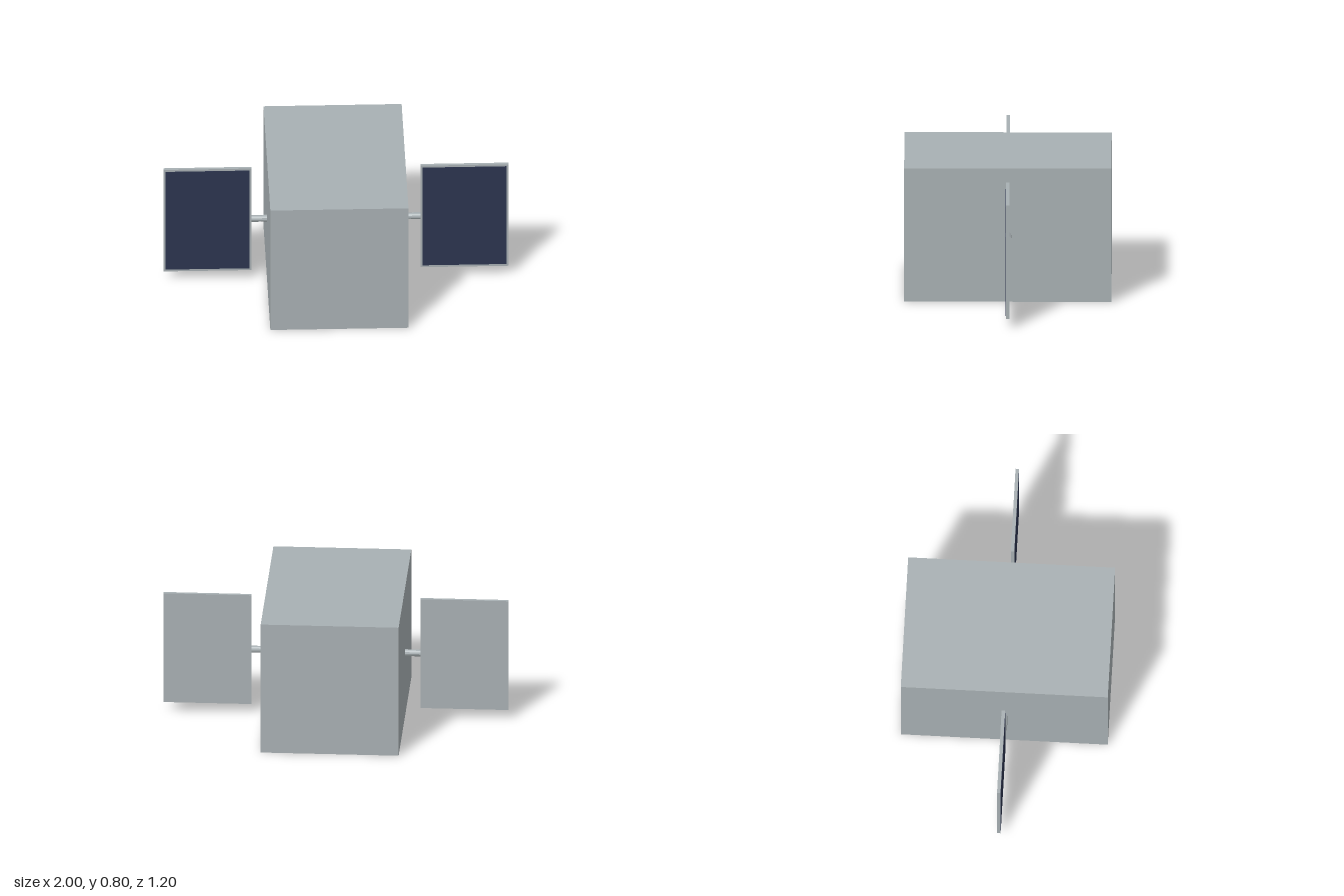
import * as THREE from 'three';

export function createModel() {
  const model = new THREE.Group();
  const hull = new THREE.MeshStandardMaterial({ color: 0xa8b0b3 });
  hull.name = 'hull grey';
  const navy = new THREE.MeshStandardMaterial({ color: 0x2c344f });
  navy.name = 'solar cell navy';

  const add = (parent, name, geometry, material, x, y, z) => {
    const mesh = new THREE.Mesh(geometry, material);
    mesh.name = name;
    mesh.position.set(x, y, z);
    parent.add(mesh);
    return mesh;
  };

  // Main box body
  add(model, 'body', new THREE.BoxGeometry(0.8, 0.8, 1.2), hull, 0, 0.4, 0);

  // Strut and solar panel on each side
  for (const [side, s] of [['left', 1], ['right', -1]]) {
    const wing = new THREE.Group();
    wing.name = side + 'Wing';

    const rod = new THREE.CylinderGeometry(0.02, 0.02, 0.09, 12).toNonIndexed();
    rod.computeVertexNormals();
    add(wing, 'strut', rod, hull, s * 0.445, 0.4, 0).rotation.z = Math.PI / 2;

    add(wing, 'panelFrame', new THREE.BoxGeometry(0.51, 0.68, 0.02), hull, s * 0.745, 0.4, 0);
    // Thin cell plate on the front face only
    add(wing, 'solarCells', new THREE.BoxGeometry(0.486, 0.654, 0.002), navy, s * 0.745, 0.4, 0.0105);
    model.add(wing);
  }
  return model;
}
